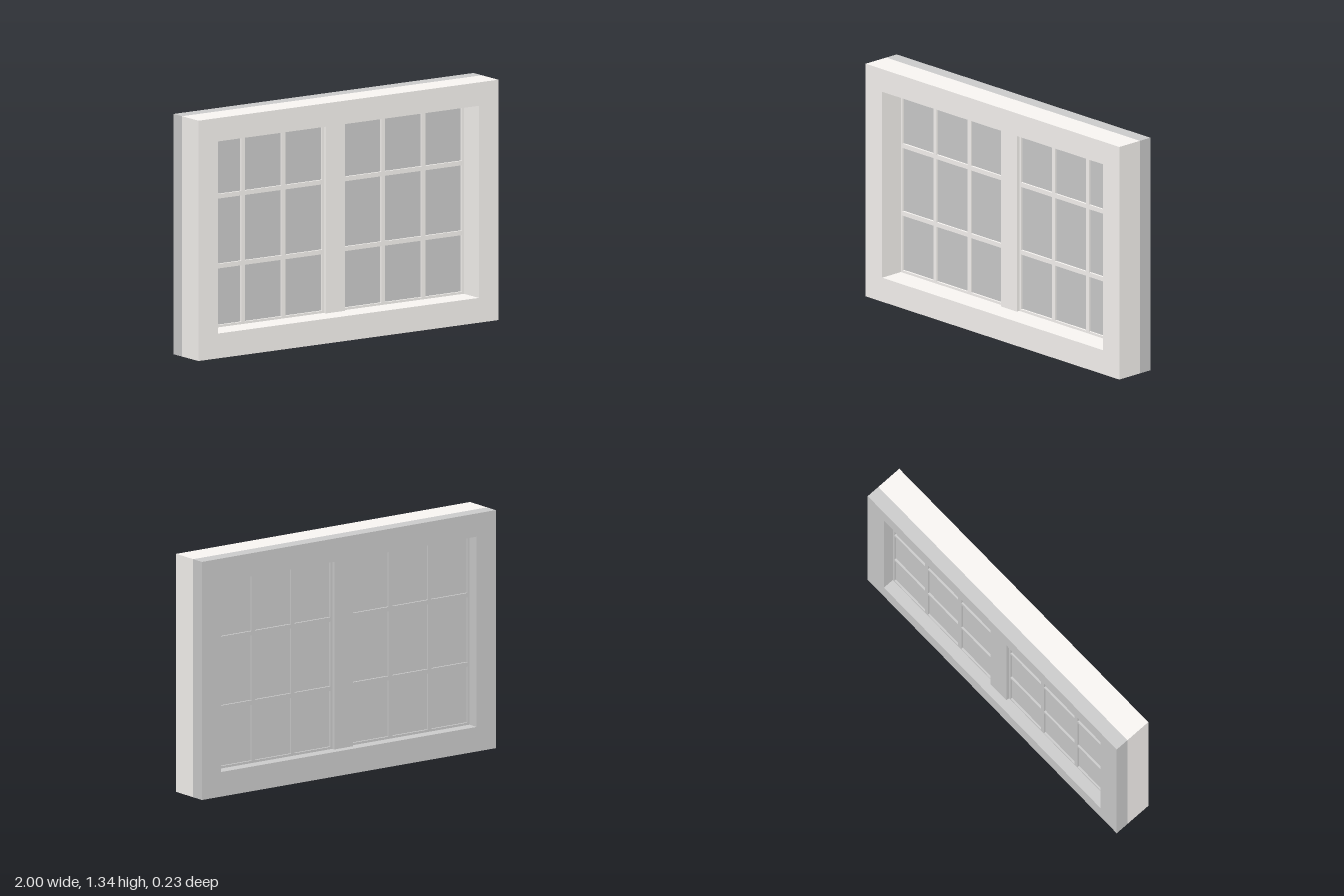
import * as THREE from 'three';

const H = 1.335, FRONT = 0.117, BACK = -0.117, MID = -0.038;
const OPEN = { x0: -0.87, x1: 0.87, y0: 0.138, y1: 1.205 };
const MULLION = 0.063;

const paint = new THREE.MeshStandardMaterial({ color: 0xf8f5f2 });
const grey = new THREE.MeshStandardMaterial({ color: 0xcccccc });

// Flat panel from z0 to z1 with rectangular holes
function panel(name, r, holes, z0, z1, material) {
  const corners = ({ x0, x1, y0, y1 }) =>
    [[x0, y0], [x1, y0], [x1, y1], [x0, y1]].map(([x, y]) => new THREE.Vector2(x, y));
  const shape = new THREE.Shape(corners(r));
  for (const h of holes) shape.holes.push(new THREE.Path(corners(h).reverse()));
  const geometry = new THREE.ExtrudeGeometry(shape, { depth: z1 - z0, bevelEnabled: false });
  geometry.translate(0, 0, z0);
  const mesh = new THREE.Mesh(geometry, material);
  mesh.name = name;
  return mesh;
}

// Painted front half and grey back half, meeting at MID
function twoTone(name, r, holes, front, back) {
  const group = new THREE.Group();
  group.name = name;
  group.add(
    panel(name + 'Front', r, holes, MID, front, paint),
    panel(name + 'Back', r, holes, back, MID, grey));
  return group;
}

// One sash: a thin grid around nine panes, with a glass sheet inside
function sash(name, x0, x1) {
  const group = new THREE.Group();
  group.name = name;
  const r = { x0, x1, y0: OPEN.y0, y1: OPEN.y1 };
  const edge = 0.013, bar = 0.025;
  const w = (x1 - x0 - 2 * edge - 2 * bar) / 3;
  const rows = [[0.151, 0.465], [0.49, 0.853], [0.878, 1.192]];
  const holes = [];
  for (let i = 0; i < 3; i++) {
    const left = x0 + edge + i * (w + bar);
    for (const [y0, y1] of rows) holes.push({ x0: left, x1: left + w, y0, y1 });
  }
  group.add(
    twoTone('glazingBars', r, holes, MID + 0.013, MID - 0.013),
    panel('glass', r, [], MID - 0.002, MID + 0.002, grey));
  return group;
}

export function createModel() {
  const model = new THREE.Group();
  model.name = 'window';

  // Outer frame and centre post
  model.add(twoTone('frame', { x0: -1, x1: 1, y0: 0, y1: H }, [OPEN], FRONT, BACK));
  model.add(twoTone('mullion',
    { x0: -MULLION, x1: MULLION, y0: OPEN.y0, y1: OPEN.y1 }, [], MID + 0.032, MID - 0.032));

  // Sashes on either side of the post
  model.add(sash('rightSash', OPEN.x0, -MULLION));
  model.add(sash('leftSash', MULLION, OPEN.x1));
  return model;
}
